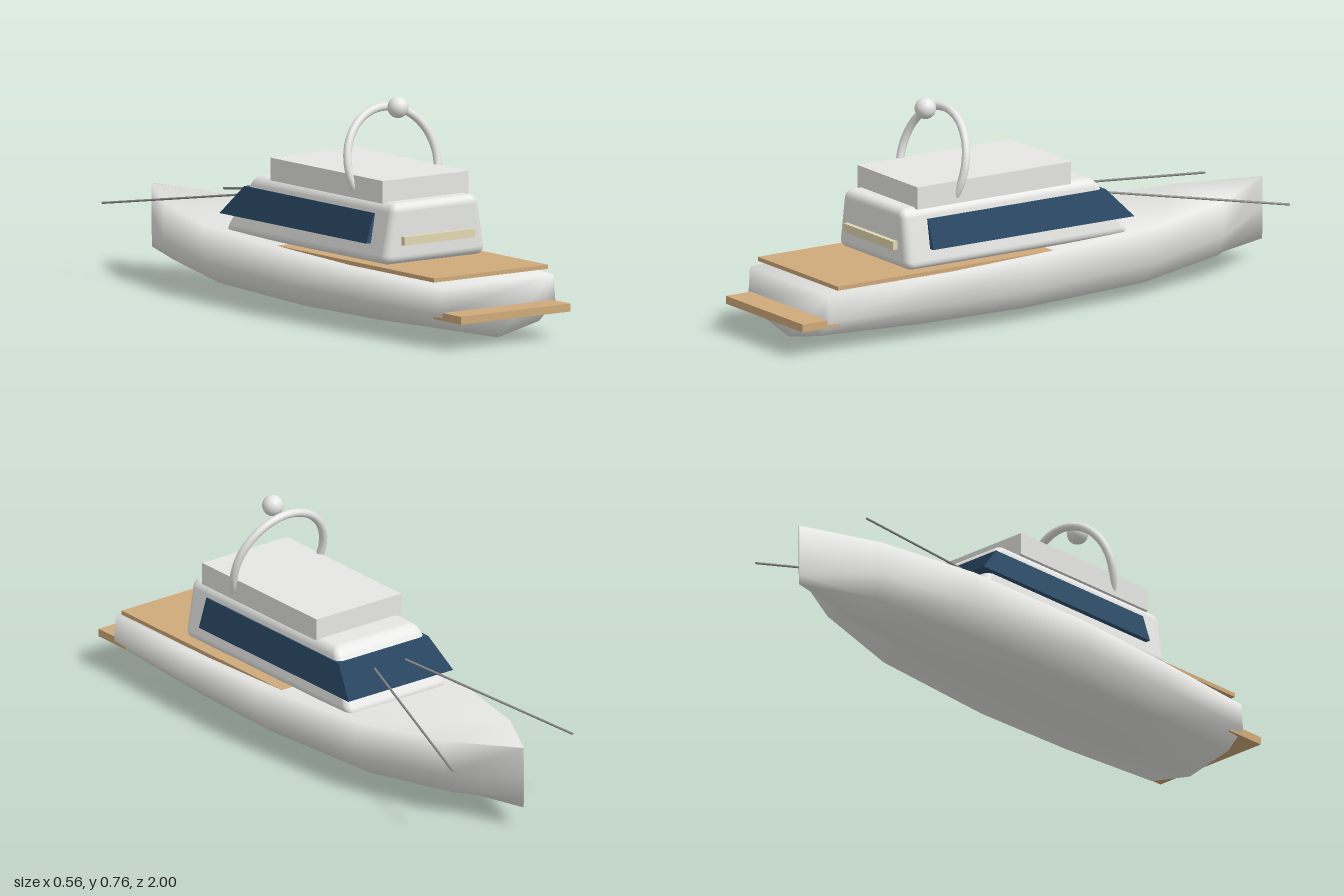
import * as THREE from 'three';
import { mergeVertices } from 'three/addons/utils/BufferGeometryUtils.js';
import { RoundedBoxGeometry } from 'three/addons/geometries/RoundedBoxGeometry.js';

const material = (name, color) => {
  const m = new THREE.MeshStandardMaterial({ color });
  m.name = name;
  return m;
};

// Hull: stations of [z, half width, keel y, chine y, topside y, sheer y]
function hullGeometry() {
  const stations = [
    [0.9, 0.243, 0.017, 0.056, 0.117, 0.207],
    [0.5, 0.27, 0.006, 0.045, 0.117, 0.218],
    [0.1, 0.281, 0.003, 0.042, 0.12, 0.231],
    [-0.4, 0.246, 0.014, 0.052, 0.132, 0.251],
    [-0.75, 0.146, 0.042, 0.08, 0.155, 0.274],
    [-1.0, 0.002, 0.08, 0.115, 0.19, 0.295],
  ];
  const pos = [], index = [], n = 7;
  for (const [z, w, keel, chine, side, sheer] of stations) {
    const half = [[0.965 * w, sheer], [w, side], [0.72 * w, chine]];
    for (const [x, y] of half) pos.push(x, y, z);
    pos.push(0, keel, z);
    for (const [x, y] of half.reverse()) pos.push(-x, y, z);
  }
  const last = stations.length - 1;
  for (let i = 0; i < last; i++) {
    for (let j = 0; j < n; j++) {
      const a = i * n + j, b = i * n + (j + 1) % n;
      index.push(a, b, a + n, b, b + n, a + n);
    }
  }
  // Transom and stem caps
  for (let k = 1; k < n - 1; k++) {
    index.push(0, k + 1, k);
    index.push(last * n, last * n + k, last * n + k + 1);
  }
  const g = new THREE.BufferGeometry();
  g.setAttribute('position', new THREE.Float32BufferAttribute(pos, 3));
  g.setIndex(index);
  g.computeVertexNormals();
  return g;
}

// Reshapes a unit block so it narrows upward and has a raked forward end
function taper(g, { y0, y1, w0, w1, aft, fore0, fore1 }) {
  const p = g.attributes.position;
  for (let i = 0; i < p.count; i++) {
    const t = p.getY(i) + 0.5;
    const w = THREE.MathUtils.lerp(w0, w1, t);
    const fore = THREE.MathUtils.lerp(fore0, fore1, t);
    p.setXYZ(i, p.getX(i) * 2 * w, THREE.MathUtils.lerp(y0, y1, t),
      THREE.MathUtils.lerp(fore, aft, p.getZ(i) + 0.5));
  }
  return g;
}

// Cabin block with softly rounded edges
function cabinGeometry() {
  const size = [0.42, 0.205, 0.9];
  let g = new RoundedBoxGeometry(...size, 4, 0.03);
  g.scale(1 / size[0], 1 / size[1], 1 / size[2]);
  taper(g, { y0: 0.235, y1: 0.44, w0: 0.215, w1: 0.178, aft: 0.565, fore0: -0.337, fore1: -0.213 });
  g.deleteAttribute('normal');
  g.deleteAttribute('uv');
  g.clearGroups();
  g = mergeVertices(g, 1e-5);
  g.computeVertexNormals();
  return g;
}

export function createModel() {
  const white = material('white gelcoat', 0xe6e6e4);
  const teak = material('teak', 0xd0aa7a);
  const glass = material('blue glass', 0x2f506e);
  const cream = material('cream trim', 0xe2d8b2);
  const metal = material('grey metal', 0x8a8a8a);

  const boat = new THREE.Group();
  boat.name = 'motorYacht';
  const add = (name, geometry, mat, x = 0, y = 0, z = 0) => {
    const mesh = new THREE.Mesh(geometry, mat);
    mesh.name = name;
    mesh.position.set(x, y, z);
    boat.add(mesh);
    return mesh;
  };
  const box = (name, mat, w, y0, y1, z0, z1) => add(name,
    new THREE.BoxGeometry(w, y1 - y0, z1 - z0), mat, 0, (y0 + y1) / 2, (z0 + z1) / 2);

  add('hull', hullGeometry(), white);
  box('aftDeck', teak, 0.478, 0.221, 0.235, -0.09, 0.865);
  box('swimPlatform', teak, 0.46, 0.095, 0.122, 0.85, 1.0);

  // Superstructure
  add('cabin', cabinGeometry(), white);
  const glazing = taper(new THREE.BoxGeometry(1, 1, 1),
    { y0: 0.3, y1: 0.4, w0: 0.222, w1: 0.19, aft: 0.47, fore0: -0.338, fore1: -0.244 });
  add('wraparoundWindow', glazing, glass);
  box('flybridge', white, 0.36, 0.435, 0.512, -0.112, 0.505);
  box('sternTrim', cream, 0.296, 0.3, 0.329, 0.555, 0.582);

  // Radar arch, open at the bottom and leaning forward
  const over = 0.45;
  const archGeometry = new THREE.TorusGeometry(0.186, 0.014, 12, 48, Math.PI + 2 * over);
  archGeometry.rotateZ(-over);
  add('radarArch', archGeometry, white, 0, 0.537, 0.323).rotation.x = -0.26;
  add('radarDome', new THREE.SphereGeometry(0.036, 24, 16), white, 0, 0.724, 0.353);

  // Mirrored outrigger poles
  for (const side of [1, -1]) {
    const foot = new THREE.Vector3(side * 0.065, 0.36, -0.28);
    const tip = new THREE.Vector3(side * 0.255, 0.26, -0.94);
    const dir = tip.clone().sub(foot);
    const pole = add(side > 0 ? 'leftOutrigger' : 'rightOutrigger',
      new THREE.CylinderGeometry(0.004, 0.004, dir.length(), 8), metal);
    pole.position.copy(foot).add(tip).multiplyScalar(0.5);
    pole.quaternion.setFromUnitVectors(new THREE.Vector3(0, 1, 0), dir.normalize());
  }
  return boat;
}
